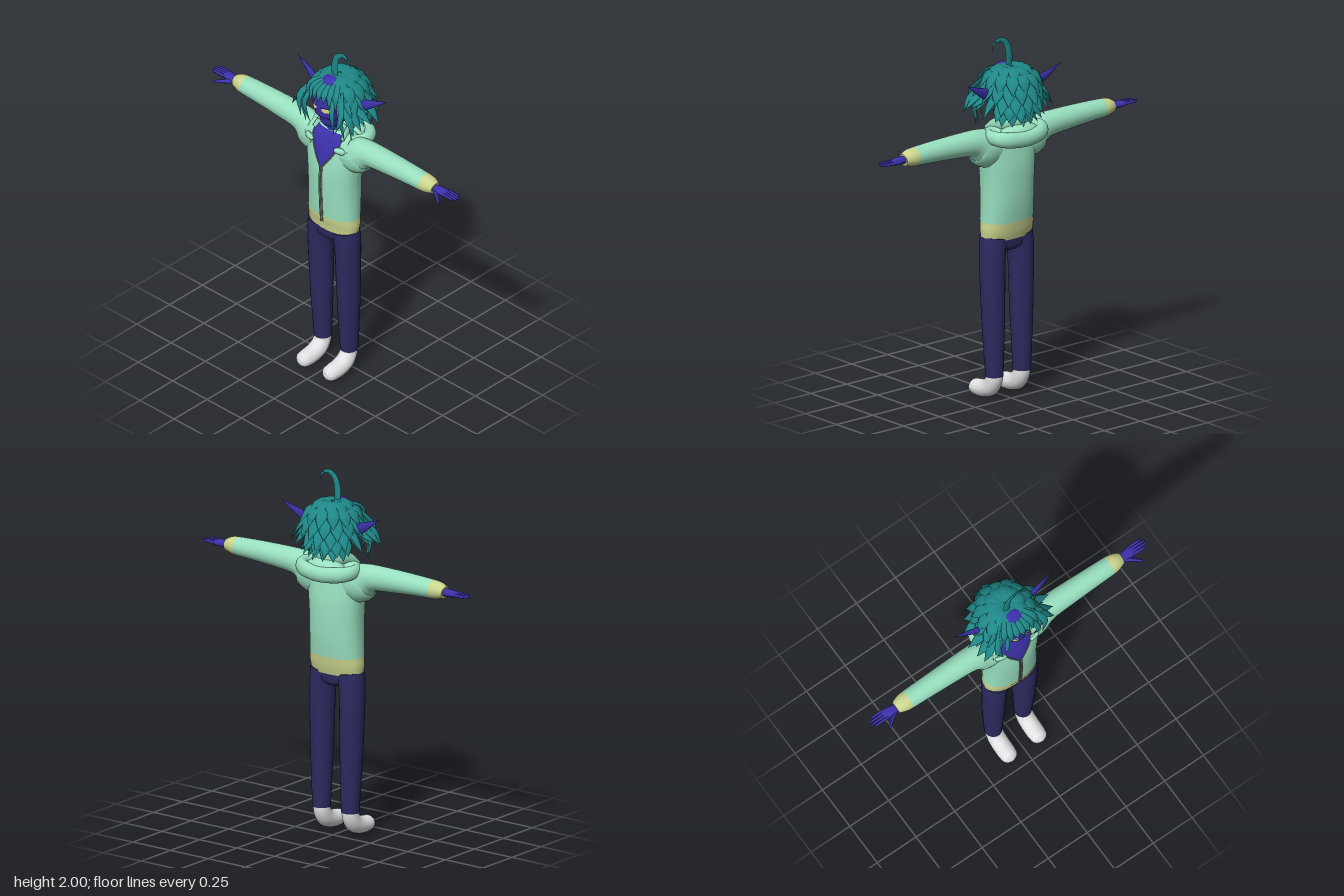
import * as THREE from 'three';

const mat = (name, color) => Object.assign(new THREE.MeshStandardMaterial({ color }), { name });
const mint = mat('mint fabric', 0x98dfbf);
const band = mat('yellow ribbing', 0xccd58e);
const skin = mat('indigo skin', 0x3c31ab);
const teal = mat('teal hair', 0x1f8787);
const navy = mat('navy trousers', 0x2c2a5f);
const white = mat('white boots', 0xe2e2e4);
const metal = mat('grey zip', 0x7b8074);
const gold = mat('pale yellow iris', 0xd9d68a);
skin.side = teal.side = THREE.DoubleSide;

const V = (x, y, z) => new THREE.Vector3(x, y, z);
const X = V(1, 0, 0), Y = V(0, 1, 0), Z = V(0, 0, 1);
const BOX = 0.88; // slightly squared cross-section
const mirror = (rows, s) => rows.map(([x, ...r]) => [x * s, ...r]);
const curves = rows => [
  new THREE.CatmullRomCurve3(rows.map(r => V(r[0], r[1], r[2])), false, 'catmullrom', 0.5),
  new THREE.CatmullRomCurve3(rows.map(r => V(r[3], r[4], 0)), false, 'catmullrom', 0.5)];

function build(pos, idx) {
  const g = new THREE.BufferGeometry();
  g.setAttribute('position', new THREE.Float32BufferAttribute(pos, 3));
  g.setIndex(idx);
  g.computeVertexNormals();
  return g;
}

// Sweeps an oval along rows of [x, y, z, half size along side, other half size]
function sweep(rows, side, { seg = 24, n = 20, t0 = 0, t1 = 1, pow = 1 } = {}) {
  const [path, size] = curves(rows), pos = [], idx = [], ends = [];
  for (let i = 0; i <= seg; i++) {
    const t = t0 + (t1 - t0) * i / seg, p = path.getPoint(t), r = size.getPoint(t);
    const d = path.getTangent(t);
    const s = side.clone().addScaledVector(d, -side.dot(d)).normalize();
    const u = d.clone().cross(s);
    for (let j = 0; j <= n; j++) {
      const a = (j % n) / n * Math.PI * 2, c = Math.cos(a), q = Math.sin(a);
      const k = v => Math.sign(v) * Math.abs(v) ** pow;
      const w = p.clone().addScaledVector(s, k(c) * Math.max(r.x, 0.0005))
        .addScaledVector(u, k(q) * Math.max(r.y, 0.0005));
      pos.push(w.x, w.y, w.z);
      if (i < seg && j < n) {
        const m = i * (n + 1) + j, e = m + n + 1;
        idx.push(m, m + 1, e + 1, m, e + 1, e);
      }
    }
    if (i === 0 || i === seg) ends.push([p, i * (n + 1), i === 0]);
  }
  for (const [p, start, first] of ends) { // flat end caps
    const c = pos.length / 3;
    pos.push(p.x, p.y, p.z, ...pos.slice(start * 3, (start + n + 1) * 3));
    for (let j = 1; j <= n; j++) idx.push(c, ...(first ? [c + j + 1, c + j] : [c + j, c + j + 1]));
  }
  return build(pos, idx);
}

// Front surface depth of an upright swept body
function frontZ(rows, x, y) {
  const [path, size] = curves(rows);
  let lo = 0, hi = 1;
  for (let i = 0; i < 24; i++) {
    const m = (lo + hi) / 2;
    if (path.getPoint(m).y < y) lo = m; else hi = m;
  }
  const r = size.getPoint(lo), k = Math.min(Math.abs(x) / r.x, 1);
  return path.getPoint(lo).z + r.y * (1 - k ** (2 / BOX)) ** (BOX / 2);
}

// Thin patch following the front of a body, between x = cx - w(v) and cx + w(v)
function patch(rows, cx, y0, y1, w, lift, nr = 12, nc = 10) {
  const pos = [], idx = [];
  for (let i = 0; i <= nr; i++) for (let j = 0; j <= nc; j++) {
    const v = i / nr, y = y0 + (y1 - y0) * v, x = cx + w(v) * (2 * j / nc - 1);
    pos.push(x, y, frontZ(rows, x, y) + lift);
    if (i < nr && j < nc) {
      const a = i * (nc + 1) + j, d = a + nc + 1;
      idx.push(a, a + 1, d + 1, a, d + 1, d);
    }
  }
  return build(pos, idx);
}

const TORSO = [[0, .9, .043, .158, .08], [0, .95, .04, .163, .09], [0, .995, .04, .16, .097],
  [0, 1.1, .037, .157, .105], [0, 1.2, .037, .158, .108], [0, 1.3, .037, .166, .105],
  [0, 1.4, .035, .18, .09], [0, 1.46, .03, .175, .078], [0, 1.5, .03, .14, .06], [0, 1.525, .03, .08, .035]];
const HEAD = [[0, 1.545, .095, .012, .02], [0, 1.56, .085, .04, .05], [0, 1.6, .06, .068, .09],
  [0, 1.65, .05, .085, .105], [0, 1.7, .045, .093, .11], [0, 1.76, .035, .095, .105],
  [0, 1.81, .03, .075, .08], [0, 1.83, .02, .02, .02]];
const ARM = [[.1, 1.41, .035, .08, .108], [.16, 1.412, .033, .08, .105], [.2, 1.437, .032, .073, .088],
  [.26, 1.455, .03, .066, .07], [.4, 1.462, .03, .061, .062], [.55, 1.465, .03, .056, .055],
  [.65, 1.465, .03, .053, .05], [.69, 1.465, .03, .047, .045], [.725, 1.46, .03, .034, .032]];

export function createModel() {
  const model = new THREE.Group();
  const add = (name, geo, m, parent = model) => {
    const mesh = new THREE.Mesh(geo, m);
    mesh.name = name;
    parent.add(mesh);
    return mesh;
  };

  // Jacket body, waistband, open neckline and zip
  add('waistband', sweep(TORSO, X, { t1: 2 / 9, n: 40, seg: 8, pow: BOX }), band);
  add('jacketBody', sweep(TORSO, X, { t0: 2 / 9, n: 40, seg: 32, pow: BOX }), mint);
  const neckline = v => .1 * Math.min(1, v * 1.3) ** .85;
  add('chest', patch(TORSO, 0, 1.305, 1.515, neckline, .005, 16), skin);
  const onFront = (x, y, r) => [x, y, frontZ(TORSO, x, y) + .003, r, r];
  for (const s of [1, -1]) {
    add('necklineTrim', sweep([0, .25, .5, .75, .95].map(v =>
      onFront(s * neckline(v), 1.305 + .21 * v, .005)), Z, { n: 6, seg: 16 }), metal);
    add('zipSide', sweep([1, 1.08, 1.16, 1.24, 1.31].map(y => onFront(s * .006, y, .005)), X, { n: 6 }), metal);
  }
  add('zipPull', sweep([onFront(0, .965, .009), onFront(0, 1.0, .007)], X, { n: 8, seg: 2 }), metal);

  // Hood lying on the back
  const hoodHalf = [[.13, 1.49, .05, .025, .02], [.165, 1.485, -.03, .036, .03], [.12, 1.475, -.1, .042, .034]];
  add('hoodRoll', sweep([...hoodHalf, [0, 1.465, -.12, .042, .034], ...mirror(hoodHalf, -1).reverse()],
    Y, { seg: 40 }), mint);
  const pouch = add('hoodPouch', new THREE.SphereGeometry(1, 28, 18), mint);
  pouch.scale.set(.13, .065, .07);
  pouch.position.set(0, 1.475, -.06);
  const collarHalf = [[.1, 1.49, .085, .02, .012], [.088, 1.53, .03, .03, .014], [.065, 1.545, -.035, .035, .016]];
  add('collar', sweep([...collarHalf, [0, 1.545, -.065, .035, .018], ...mirror(collarHalf, -1).reverse()],
    Y, { seg: 36, n: 14 }), mint);

  // Neck, hips and head
  add('neck', sweep([[0, 1.46, .035, .07, .05], [0, 1.52, .035, .045, .042], [0, 1.62, .04, .04, .042]], X), skin);
  add('hips', sweep([[0, .825, .042, .05, .045], [0, .85, .042, .12, .068], [0, .91, .043, .154, .077]],
    X, { n: 32, pow: BOX }), navy);
  const head = new THREE.Group();
  head.name = 'head';
  model.add(head);
  add('face', sweep(HEAD, X, { n: 32, seg: 32, pow: BOX }), skin, head);
  const oval = w => v => w * Math.sqrt(Math.max(0, 1 - (2 * v - 1) ** 2));
  add('mouth', patch(HEAD, 0, 1.622, 1.627, oval(.022), .004), navy, head);

  const hair = new THREE.Group();
  hair.name = 'hair';
  model.add(hair);
  // One tapering flat lock through root, middle and tip
  const lock = (name, pts, w, side) => add(name, sweep(pts.map((p, i) =>
    [...p, w * [.55, 1, 0][i], .009 * [1, 1, 0][i]]), side, { seg: 8, n: 8 }), teal, hair);

  for (const s of [1, -1]) {
    // Eyes and ears
    add('eyeWhite', patch(HEAD, s * .046, 1.672, 1.704, oval(.029), .003), white, head);
    add('iris', patch(HEAD, s * .044, 1.671, 1.705, oval(.021), .006), gold, head);
    add('upperLid', patch(HEAD, s * .047, 1.7, 1.707, oval(.031), .008), navy, head);
    add('ear', sweep(mirror([[.08, 1.69, .01, .02, .03], [.15, 1.708, .005, .014, .034],
      [.24, 1.75, -.01, .008, .019], [.327, 1.797, -.02, 0, 0]], s), Z, { n: 12 }), skin, head);

    // Sleeves and cuffs
    add('sleeve', sweep(mirror(ARM, s), Z, { t1: 6 / 8, n: 28, seg: 36 }), mint);
    add('cuff', sweep(mirror(ARM, s), Z, { t0: 6 / 8, n: 28, seg: 10 }), band);

    // Hands
    const hand = new THREE.Group();
    hand.name = s > 0 ? 'leftHand' : 'rightHand';
    model.add(hand);
    add('palm', sweep(mirror([[.7, 1.46, .03, .022, .02], [.75, 1.463, .03, .026, .021],
      [.79, 1.463, .028, .031, .016], [.808, 1.463, .028, .027, .01]], s), Z), skin, hand);
    [.87, .886, .886, .872].forEach((end, i) => {
      const z = .004 + i * .016;
      add('finger', sweep(mirror([[.79, 1.464, z, .0085, .01], [.84, 1.466, z, .0075, .008],
        [end - .006, 1.463, z, .006, .006], [end, 1.462, z, .001, .001]], s), Z, { n: 8, seg: 10 }), skin, hand);
    });
    add('thumb', sweep(mirror([[.735, 1.455, .04, .014, .014], [.78, 1.45, .072, .011, .011],
      [.812, 1.445, .098, .008, .008], [.82, 1.444, .106, .001, .001]], s), Y, { n: 10 }), skin, hand);

    // Trouser legs and boots
    add('trouserLeg', sweep(mirror([[.095, .14, .027, .048, .049], [.097, .32, .031, .056, .058],
      [.098, .5, .035, .063, .065], [.098, .8, .041, .068, .075], [.084, .905, .043, .076, .077]], s), X, { n: 28 }), navy);
    add('boot', sweep(mirror([[.095, .16, .027, .044, .044], [.095, .115, .032, .047, .046],
      [.095, .075, .06, .049, .05], [.095, .055, .105, .05, .048], [.095, .049, .155, .049, .045],
      [.095, .05, .19, .04, .037], [.095, .052, .207, .012, .012]], s), X, { seg: 36, n: 24 }), white);

    // Rolled hood ends at the front
    add('hoodEnd', sweep(mirror([[.078, 1.445, .118, .004, .004], [.088, 1.445, .12, .016, .014],
      [.125, 1.445, .11, .018, .015], [.14, 1.445, .1, .004, .004]], s), Y, { n: 12 }), mint);

    // Long locks framing the face and spikes over the ears
    [[[.06, 1.81, .11], [.1, 1.69, .165], [.085, 1.55, .135], .016],
      [[.09, 1.8, .1], [.135, 1.68, .14], [.14, 1.52, .11], .02],
      [[.1, 1.79, .07], [.165, 1.68, .1], [.17, 1.53, .09], .022],
      [[.1, 1.79, .09], [.15, 1.7, .15], [.125, 1.59, .165], .02]].forEach(([a, b, c, w]) =>
      lock('sideLock', mirror([a, b, c], s), w, X));
    [[.26, 1.645, .03], [.245, 1.62, .09], [.225, 1.6, .13], [.24, 1.6, -.05]].forEach(tip =>
      lock('earSpike', mirror([[.1, 1.73, tip[2] * .6], [.18, 1.68, tip[2] * .9], tip], s), .028, Z));
  }

  // Hair cap and overlapping rings: [count, skipped front angle, root r,y, middle r,y, tip r,y, width]
  const cap = add('hairCap', new THREE.SphereGeometry(1, 28, 20), teal, hair);
  cap.scale.set(.122, .105, .125);
  cap.position.set(0, 1.732, .004);
  const backCap = add('napeHair', new THREE.SphereGeometry(1, 24, 16), teal, hair);
  backCap.scale.set(.115, .13, .09);
  backCap.position.set(0, 1.68, -.03);
  [[11, 0, .01, 1.832, .085, 1.832, .145, 1.775, .036],
    [14, .5, .07, 1.825, .138, 1.79, .178, 1.725, .036],
    [16, 1.0, .1, 1.79, .158, 1.735, .2, 1.67, .037],
    [16, 1.3, .1, 1.74, .16, 1.685, .21, 1.62, .036],
    [16, 1.7, .09, 1.69, .14, 1.63, .175, 1.575, .034],
    [14, 1.9, .08, 1.64, .11, 1.59, .135, 1.54, .028]].forEach(([n, gap, r0, y0, r1, y1, r2, y2, w], k) => {
    for (let i = 0; i < n; i++) {
      const a = ((i + (k % 2) / 2) / n * 2 - 1) * Math.PI;
      if (Math.abs(a) < gap) continue;
      const long = 1 + .05 * Math.sin(i * 2.7 + k);
      const at = (r, y) => [Math.sin(a) * r, y, Math.cos(a) * r];
      lock('hairLock', [at(r0, y0), at(r1, y1), at(r2 * long, y2)], w, V(Math.cos(a), 0, -Math.sin(a)));
    }
  });

  // Fringe over the forehead
  for (let i = -3; i <= 3; i++) {
    const x = i * .03, drop = 1.735 - .012 * Math.abs(i) + (i % 2 ? .012 : 0);
    lock('fringeLock', [[x * .5, 1.832, .06], [x, 1.795, .15 - x * x * 3], [x * 1.15 + .005, drop, .172 - x * x * 3]], .022, X);
  }

  // Curled strand on the crown
  add('crownCurl', sweep([[-.004, 1.82, .03, .016, .006], [-.01, 1.88, .03, .022, .007],
    [.004, 1.95, .03, .019, .006], [.045, 1.986, .03, .013, .005], [.09, 1.972, .03, .008, .004],
    [.109, 1.93, .03, 0, 0]], V(.8, -.6, 0), { n: 10 }), teal, hair);
  return model;
}
